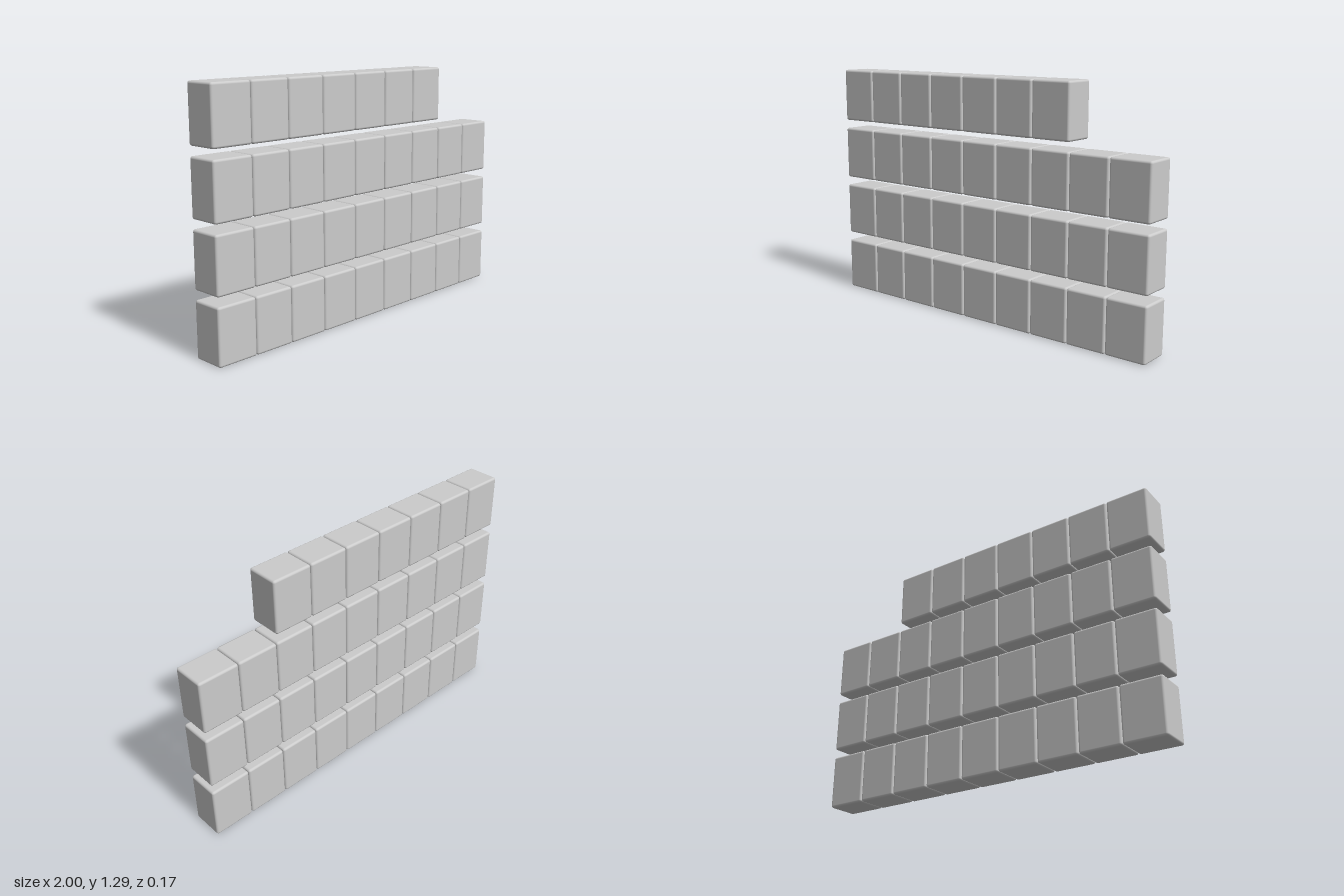
import * as THREE from 'three';
import { RoundedBoxGeometry } from 'three/addons/geometries/RoundedBoxGeometry.js';

export function createModel() {
  const model = new THREE.Group();
  model.name = 'tileRows';
  const material = new THREE.MeshStandardMaterial({ color: 0xcccccc });

  // One tile shape, shared by every tile
  const width = 0.22, height = 0.288, depth = 0.174;
  const pitchX = (2 - width) / 8, pitchY = 0.334;
  const tileGeometry = new RoundedBoxGeometry(width, height, depth, 3, 0.012);

  // Rows from bottom to top; the top row is two tiles short on the left
  [9, 9, 9, 7].forEach((count, r) => {
    const row = new THREE.Group();
    row.name = `row${r + 1}`;
    row.position.y = height / 2 + r * pitchY;
    for (let i = 0; i < count; i++) {
      const tile = new THREE.Mesh(tileGeometry, material);
      tile.name = `tile${i + 1}`;
      tile.position.x = -1 + width / 2 + i * pitchX;
      row.add(tile);
    }
    model.add(row);
  });

  return model;
}
